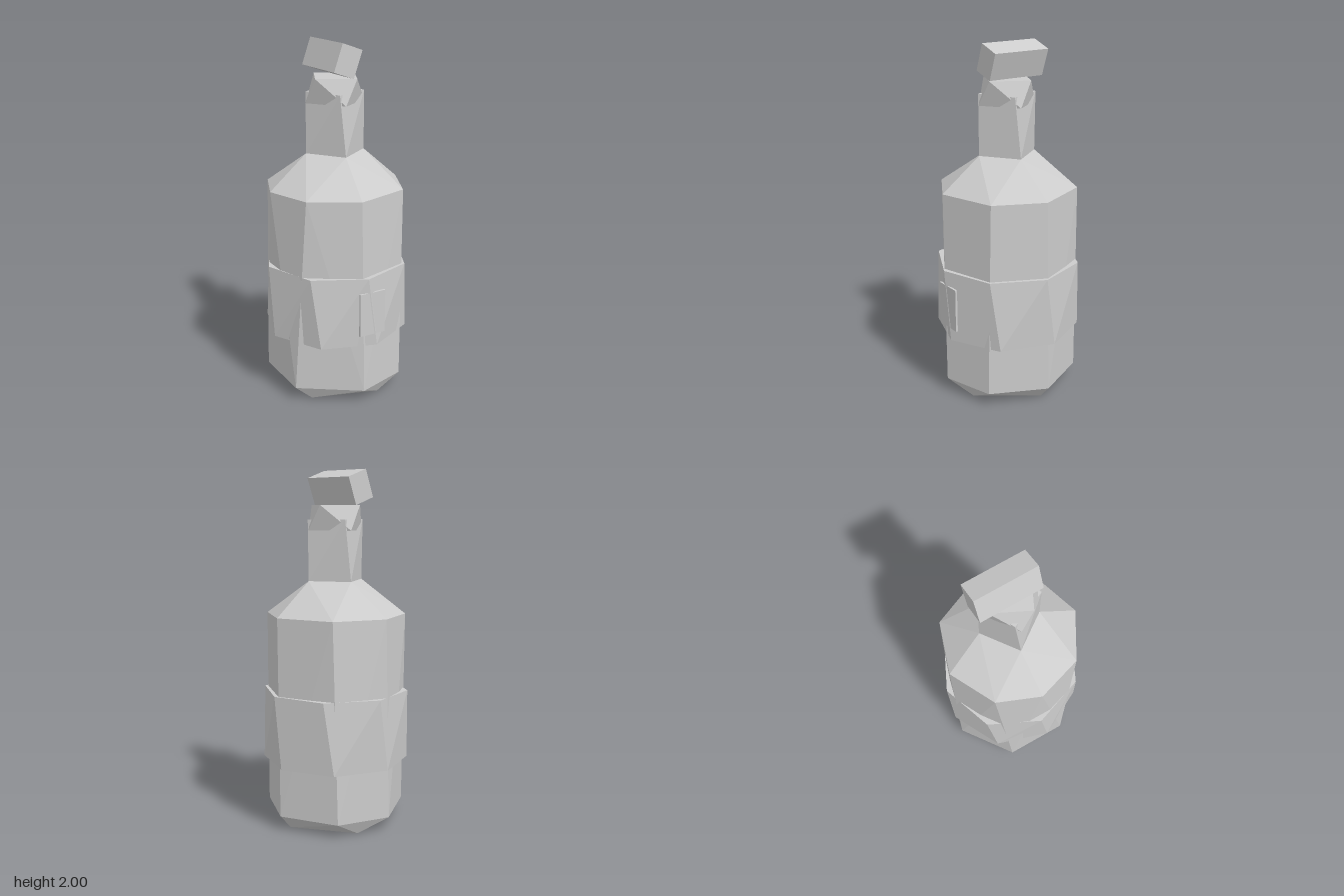
import * as THREE from 'three';

const grey = new THREE.MeshStandardMaterial({ color: 0xcccccc });
grey.name = 'plain grey';
grey.flatShading = true;

// A ring: height, radius and the angles of its corners in degrees (0 = +x, 90 = +z)
const ring = (y, r, angles) => ({ y, r, angles });
const regular = (n, start) => Array.from({ length: n }, (_, i) => start + (i * 360) / n);

const angleAt = (g, i) => {
  const n = g.angles.length;
  return g.angles[i % n] + 360 * Math.floor(i / n);
};
const corner = (g, i) => {
  const t = THREE.MathUtils.degToRad(angleAt(g, i));
  return [g.r * Math.cos(t), g.y, g.r * Math.sin(t)];
};

// Joins two rings with any number of corners, always taking the shorter diagonal
function loft(name, low, high, capLow = false, capHigh = false) {
  const pos = [];
  const na = low.angles.length, nb = high.angles.length;
  let i = 0, j = 0;
  while (i < na || j < nb) {
    const stepLow = Math.abs(angleAt(low, i + 1) - angleAt(high, j));
    const stepHigh = Math.abs(angleAt(high, j + 1) - angleAt(low, i));
    pos.push(...corner(low, i), ...corner(high, j));
    if (j >= nb || (i < na && stepLow <= stepHigh)) pos.push(...corner(low, ++i));
    else pos.push(...corner(high, ++j));
  }
  if (capLow) {
    for (let k = 1; k < na - 1; k++) pos.push(...corner(low, 0), ...corner(low, k), ...corner(low, k + 1));
  }
  if (capHigh) {
    for (let k = 1; k < nb - 1; k++) pos.push(...corner(high, 0), ...corner(high, k + 1), ...corner(high, k));
  }
  const geo = new THREE.BufferGeometry();
  geo.setAttribute('position', new THREE.Float32BufferAttribute(pos, 3));
  geo.computeVertexNormals();
  const mesh = new THREE.Mesh(geo, grey);
  mesh.name = name;
  return mesh;
}

function box(name, size, position, tilt = 0) {
  const mesh = new THREE.Mesh(new THREE.BoxGeometry(...size), grey);
  mesh.name = name;
  mesh.position.set(...position);
  mesh.rotation.z = THREE.MathUtils.degToRad(tilt);
  return mesh;
}

export function createModel() {
  const model = new THREE.Group();
  model.name = 'bottle';

  // Bottle: five-sided foot, seven-sided base, eight-sided shoulder, four-sided neck
  const foot = ring(0, 0.33, regular(5, 0));
  const base = ring(0.08, 0.402, [0, 51, 96, 154, 208, 262, 308]);
  const shoulder = ring(1.2, 0.397, [3, 48.5, 99, 143, 184, 222, 266, 312]);
  const neckLow = ring(1.39, 0.172, regular(4, 10));
  const neckHigh = ring(1.73, 0.163, regular(4, 21));
  model.add(
    loft('baseChamfer', foot, base, true),
    loft('body', base, shoulder),
    loft('shoulder', shoulder, neckLow),
    loft('neck', neckLow, neckHigh, false, true),
  );

  // Twisted band around the body, with a small plate on its front
  model.add(loft('band', ring(0.36, 0.416, regular(8, -4)), ring(0.765, 0.416, regular(8, 4)), true, true));
  model.add(box('labelPlate', [0.16, 0.25, 0.012], [0, 0.556, 0.407]));

  // Twisted lip on the neck and the tilted stopper block
  model.add(loft('lip', ring(1.67, 0.172, regular(4, 10)), ring(1.81, 0.16, regular(4, -18)), true, true));
  model.add(box('stopper', [0.13, 0.16, 0.355], [0, 1.905, -0.0375], -19.5));

  return model;
}
